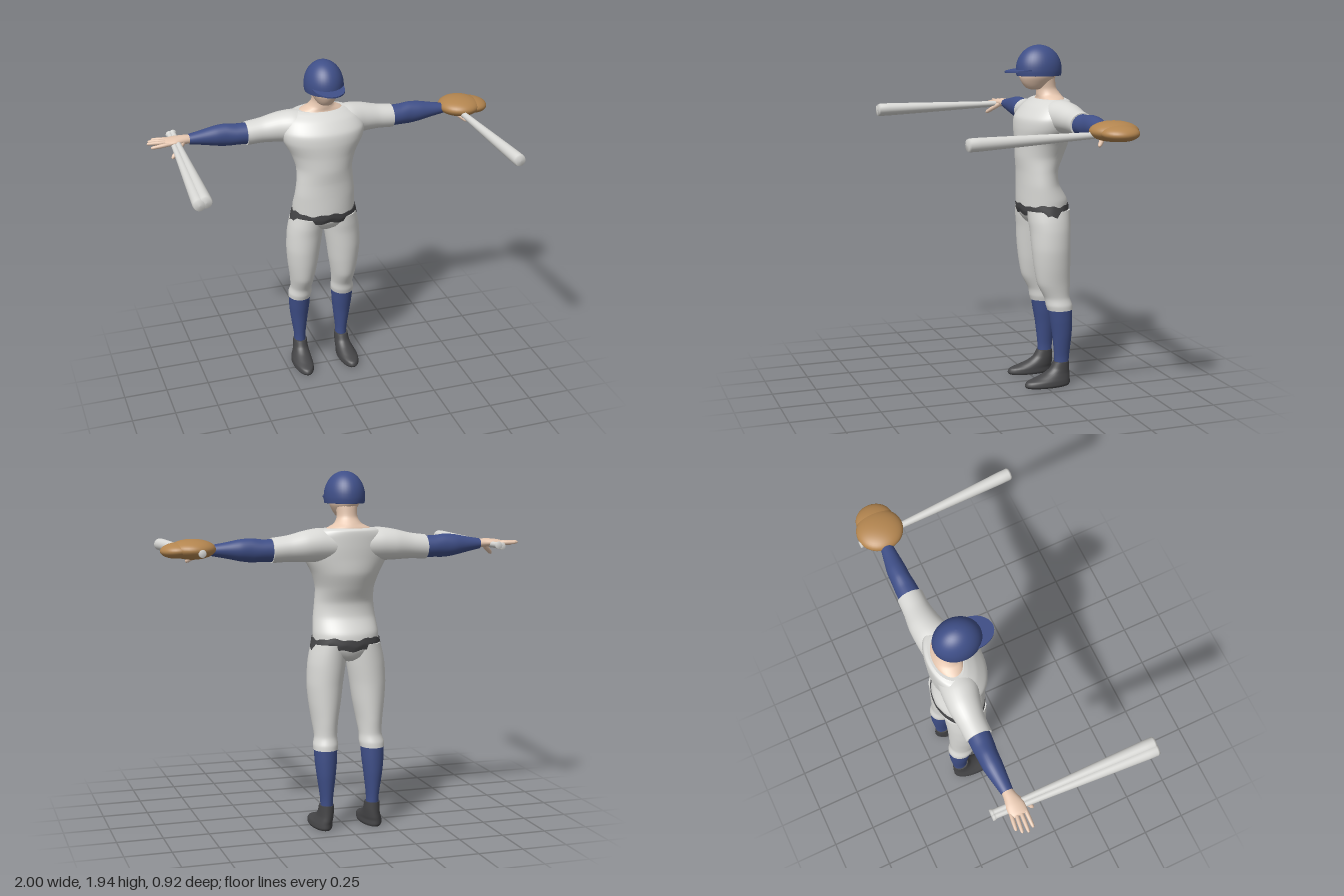
import * as THREE from 'three';

const mat = (name, color, side = THREE.FrontSide) => {
  const m = new THREE.MeshStandardMaterial({ color, side });
  m.name = name;
  return m;
};

// Smooth skin over elliptical sections [pos, a, b, ra, rb].
// axis 'y': pos = y, a = x, b = z.  axis 'x': pos = x, a = y, b = z.
function loft(sections, { axis = 'y', sx = 1, seg = 32, sub = 6, wave = null } = {}) {
  const centre = new THREE.CatmullRomCurve3(sections.map(s => new THREE.Vector3(s[0], s[1], s[2])), false, 'catmullrom', 0.4);
  const radius = new THREE.CatmullRomCurve3(sections.map(s => new THREE.Vector3(s[3], s[4], 0)), false, 'catmullrom', 0.4);
  const rows = (sections.length - 1) * sub, pos = [], idx = [];
  const flip = (axis === 'x') !== (sx < 0);
  const put = (p, a, b) => (axis === 'y' ? pos.push(a * sx, p, b) : pos.push(p * sx, a, b));
  const tri = (a, b, c) => (flip ? idx.push(a, c, b) : idx.push(a, b, c));
  const ring = t => {
    const c = centre.getPoint(t), r = radius.getPoint(t), first = pos.length / 3;
    for (let i = 0; i < seg; i++) {
      const th = (i / seg) * Math.PI * 2;
      put(c.x + (wave ? wave(th, t) : 0), c.y + r.x * Math.cos(th), c.z + r.y * Math.sin(th));
    }
    return first;
  };
  for (let j = 0; j <= rows; j++) ring(j / rows);
  for (let j = 0; j < rows; j++) for (let i = 0; i < seg; i++) {
    const a = j * seg + i, b = j * seg + (i + 1) % seg;
    tri(a, a + seg, b);
    tri(b, a + seg, b + seg);
  }
  // End caps
  for (const t of [0, 1]) {
    const first = ring(t), c = centre.getPoint(t), mid = pos.length / 3;
    put(c.x, c.y, c.z);
    for (let i = 0; i < seg; i++) {
      const a = first + i, b = first + (i + 1) % seg;
      t ? tri(a, mid, b) : tri(a, b, mid);
    }
  }
  const g = new THREE.BufferGeometry();
  g.setAttribute('position', new THREE.Float32BufferAttribute(pos, 3));
  g.setIndex(idx);
  g.computeVertexNormals();
  return g;
}

// Shape of revolution running from one point to another; profile is [radius, fraction of length]
function turned(profile, from, to, seg = 20) {
  const a = new THREE.Vector3(...from), d = new THREE.Vector3(...to).sub(a), len = d.length();
  const g = new THREE.LatheGeometry(profile.map(p => new THREE.Vector2(p[0], p[1] * len)), seg);
  g.applyQuaternion(new THREE.Quaternion().setFromUnitVectors(new THREE.Vector3(0, 1, 0), d.normalize()));
  return g.translate(a.x, a.y, a.z);
}

export function createModel() {
  const root = new THREE.Group();
  root.name = 'ballPlayer';
  const body = new THREE.Group();
  body.name = 'body';
  body.position.x = -0.013;
  root.add(body);

  const white = mat('uniformWhite', 0xd9d9d6);
  const blue = mat('blueCloth', 0x3f4f88);
  const dark = mat('darkLeather', 0x464648);
  const skin = mat('skin', 0xe6c7b0);
  const tan = mat('gloveLeather', 0xb3854f);
  const add = (name, geo, m, parent = body) => {
    const mesh = new THREE.Mesh(geo, m);
    mesh.name = name;
    parent.add(mesh);
    return mesh;
  };

  // Shirt and hips
  add('shirt', loft([
    [1.03, 0, -0.28, 0.182, 0.142], [1.08, 0, -0.275, 0.182, 0.138], [1.16, 0, -0.252, 0.174, 0.115],
    [1.24, 0, -0.248, 0.165, 0.113], [1.32, 0, -0.26, 0.163, 0.133], [1.4, 0, -0.274, 0.188, 0.147],
    [1.48, 0, -0.276, 0.23, 0.15], [1.54, 0, -0.283, 0.24, 0.146], [1.6, 0, -0.307, 0.215, 0.122],
    [1.63, 0, -0.325, 0.175, 0.1], [1.641, 0, -0.327, 0.14, 0.082],
  ], { seg: 48 }), white);
  add('hips', loft([
    [0.925, 0, -0.29, 0.04, 0.07], [0.95, 0, -0.287, 0.12, 0.105],
    [0.99, 0, -0.283, 0.185, 0.128], [1.04, 0, -0.28, 0.185, 0.138],
  ]), white);
  add('belt', loft([
    [0.992, 0, -0.283, 0.199, 0.134], [1.02, 0, -0.281, 0.194, 0.143], [1.05, 0, -0.279, 0.188, 0.144],
  ], { seg: 64, wave: (th, t) => 0.006 * Math.sin(5 * th) + 0.004 * Math.sin(13 * th + 2 * t) }), dark);

  // Neck and head
  add('neck', loft([
    [1.625, 0, -0.322, 0.15, 0.08], [1.645, 0, -0.322, 0.115, 0.074], [1.665, 0, -0.315, 0.075, 0.068],
    [1.7, 0, -0.302, 0.056, 0.056], [1.76, 0, -0.29, 0.058, 0.06],
  ]), skin);
  add('head', loft([
    [1.692, 0, -0.235, 0.018, 0.025], [1.703, 0, -0.238, 0.041, 0.056], [1.73, 0, -0.244, 0.06, 0.085],
    [1.765, 0, -0.25, 0.077, 0.106], [1.81, 0, -0.257, 0.08, 0.108],
  ]), skin);

  // Helmet shell with brim
  const shell = [[0, 0], [0.106, 0], [0.106, 0.001], [0.109, 0.02]];
  for (let i = 0; i <= 14; i++) {
    const a = (i / 14) * Math.PI / 2;
    shell.push([0.109 * Math.cos(a), 0.035 + 0.135 * Math.sin(a)]);
  }
  const helmet = add('helmet', new THREE.LatheGeometry(shell.map(p => new THREE.Vector2(...p)), 40), blue);
  helmet.scale.z = 1.2;
  helmet.position.set(0, 1.77, -0.257);
  const brim = add('helmetBrim', new THREE.CylinderGeometry(1, 1, 0.008, 40), blue);
  brim.scale.set(0.09, 1, 0.12);
  brim.rotation.x = 0.1;
  brim.position.set(0, 1.804, -0.178);

  for (const s of [1, -1]) {
    const side = s > 0 ? 'left' : 'right';

    // Leg: trousers, sock, shoe
    add(side + 'Trouser', loft([
      [0.447, 0.134, -0.343, 0.066, 0.074], [0.475, 0.132, -0.337, 0.068, 0.077], [0.52, 0.128, -0.326, 0.062, 0.075],
      [0.6, 0.127, -0.306, 0.071, 0.096], [0.7, 0.125, -0.296, 0.087, 0.106], [0.8, 0.122, -0.29, 0.098, 0.112],
      [0.9, 0.112, -0.288, 0.103, 0.117], [0.96, 0.104, -0.285, 0.101, 0.122], [1.02, 0.095, -0.283, 0.094, 0.126],
    ], { sx: s }), white);
    add(side + 'Sock', loft([
      [0.12, 0.131, -0.356, 0.034, 0.042], [0.18, 0.132, -0.357, 0.035, 0.045], [0.3, 0.134, -0.356, 0.051, 0.057],
      [0.38, 0.134, -0.35, 0.06, 0.065], [0.455, 0.134, -0.343, 0.064, 0.071],
    ], { sx: s }), blue);
    add(side + 'Shoe', loft([
      [0, 0.142, -0.267, 0.053, 0.13], [0.012, 0.143, -0.266, 0.059, 0.137], [0.034, 0.142, -0.272, 0.057, 0.131],
      [0.052, 0.138, -0.298, 0.052, 0.106], [0.075, 0.134, -0.326, 0.046, 0.077],
      [0.1, 0.132, -0.344, 0.043, 0.058], [0.138, 0.131, -0.354, 0.041, 0.047],
    ], { sx: s }), dark);

    // Arm: short sleeve, undershirt, palm
    add(side + 'Sleeve', loft([
      [0.08, 1.55, -0.318, 0.088, 0.1], [0.17, 1.553, -0.325, 0.09, 0.1], [0.25, 1.549, -0.338, 0.083, 0.088],
      [0.34, 1.54, -0.342, 0.07, 0.074], [0.43, 1.532, -0.341, 0.066, 0.071],
    ], { axis: 'x', sx: s }), white);
    add(side + 'Undersleeve', loft([
      [0.41, 1.532, -0.341, 0.06, 0.062], [0.48, 1.533, -0.343, 0.059, 0.06], [0.54, 1.536, -0.345, 0.063, 0.055],
      [0.6, 1.538, -0.345, 0.057, 0.053], [0.67, 1.539, -0.342, 0.043, 0.044], [0.752, 1.54, -0.338, 0.028, 0.033],
    ], { axis: 'x', sx: s }), blue);
    add(side + 'Palm', loft([
      [0.735, 1.541, -0.338, 0.023, 0.028], [0.78, 1.543, -0.335, 0.024, 0.035],
      [0.83, 1.544, -0.333, 0.021, 0.048], [0.875, 1.543, -0.333, 0.015, 0.048], [0.89, 1.542, -0.333, 0.008, 0.044],
    ], { axis: 'x', sx: s }), skin);

    // Fingers and thumb
    const digit = [[0, 0], [0.011, 0.02], [0.011, 0.5], [0.009, 0.88], [0.006, 0.97], [0, 1]];
    [[0.955, -0.384], [0.978, -0.36], [0.988, -0.33], [0.972, -0.297]].forEach(([x, z], i) =>
      add(side + 'Finger' + (i + 1), turned(digit, [s * 0.86, 1.542, -0.37 + i * 0.025], [s * x, i === 3 ? 1.53 : 1.544, z], 10), skin));
    add(side + 'Thumb', turned(digit.map(p => [p[0] * 1.25, p[1]]), [s * 0.785, 1.54, -0.315], [s * 0.868, 1.476, -0.245], 10), skin);
  }

  // Fielding glove on the left hand
  const lobe = (name, x, y, z, rx, ry, rz, tilt) => {
    const m = add(name, new THREE.SphereGeometry(1, 36, 24), tan, root);
    m.position.set(x, y, z);
    m.scale.set(rx, ry, rz);
    m.rotation.z = tilt;
  };
  lobe('gloveBody', 0.835, 1.549, -0.333, 0.122, 0.053, 0.128, 0);
  lobe('gloveFingers', 0.905, 1.546, -0.333, 0.096, 0.042, 0.103, -0.06);

  // Bats with knob, thin grip and thick barrel
  const batProfile = [[0, 0], [0.019, 0], [0.021, 0.008], [0.019, 0.016], [0.0155, 0.025], [0.016, 0.2],
    [0.022, 0.45], [0.029, 0.72], [0.034, 0.93], [0.034, 0.985], [0.029, 0.997], [0, 1]];
  const bats = [
    ['leftBat', [0.807, 1.535, -0.462], [0.862, 1.513, 0.457]],
    ['rightBat', [-0.85, 1.532, -0.462], [-0.886, 1.511, 0.457]],
    ['rightSpareBat', [-0.83, 1.537, -0.462], [-0.852, 1.522, 0.457]],
  ];
  for (const [name, from, to] of bats) add(name, turned(batProfile, from, to, 24), white, root);

  return root;
}
